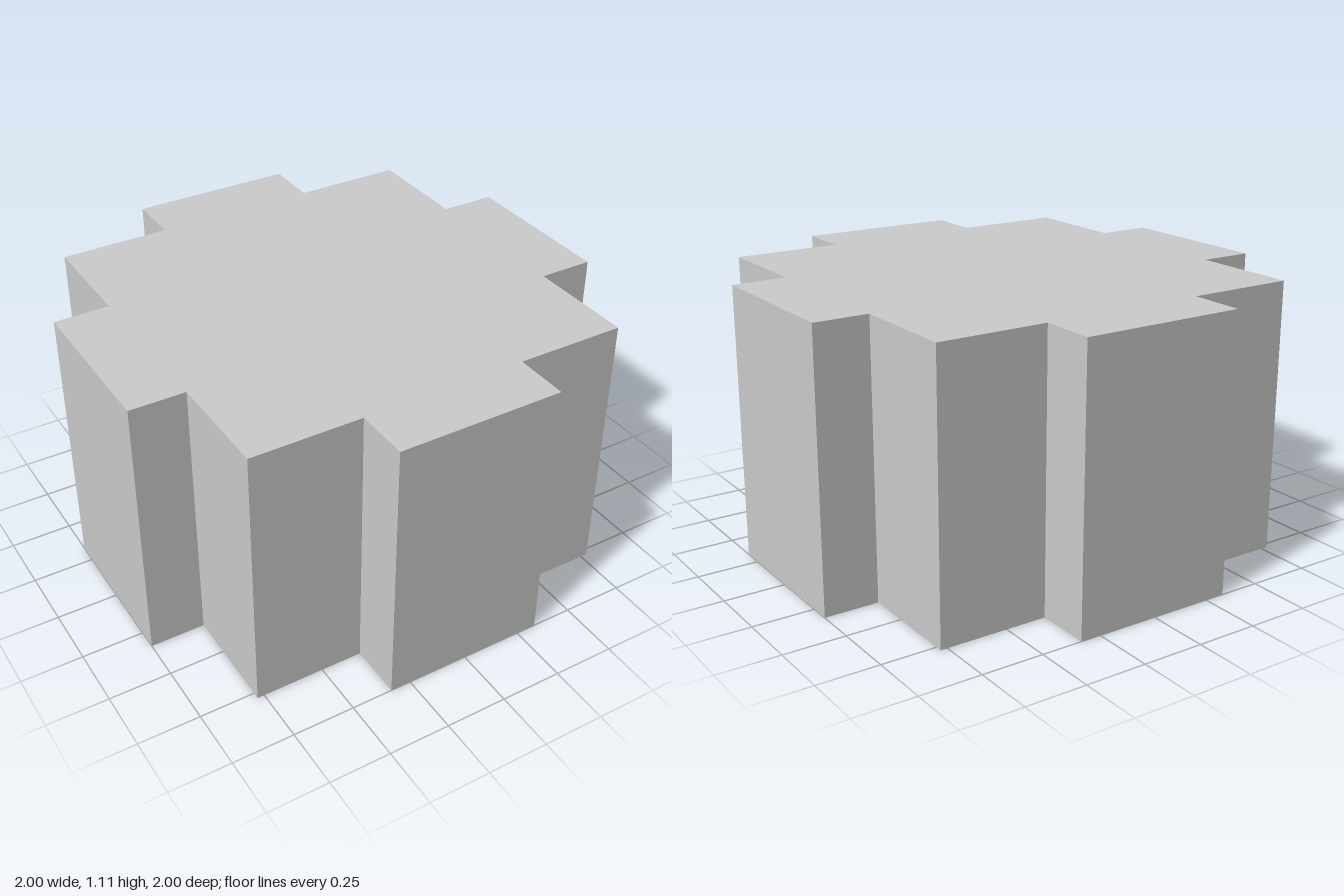
import * as THREE from 'three';

const ARM = 1 / 3;    // half width of the four projecting arms
const CORE = 7 / 9;   // half width of the square core
const REACH = 1;      // distance from the centre to the arm ends
const HEIGHT = 10 / 9;

export function createModel() {
  const group = new THREE.Group();
  group.name = 'steppedBlock';

  // Outline: one side's corners, turned through four quarter turns
  const side = [[CORE, -CORE], [CORE, -ARM], [REACH, -ARM], [REACH, ARM], [CORE, ARM]];
  const outline = [];
  for (let i = 0; i < 4; i++) {
    for (const [x, y] of side) {
      outline.push(new THREE.Vector2(x, y).rotateAround(new THREE.Vector2(), i * Math.PI / 2));
    }
  }

  // Solid prism, extruded and stood upright on the ground
  const geometry = new THREE.ExtrudeGeometry(new THREE.Shape(outline), {
    depth: HEIGHT,
    bevelEnabled: false,
  });
  geometry.rotateX(-Math.PI / 2);

  const material = new THREE.MeshStandardMaterial({ color: 0xcccccc, flatShading: true });
  const block = new THREE.Mesh(geometry, material);
  block.name = 'block';
  group.add(block);
  return group;
}
